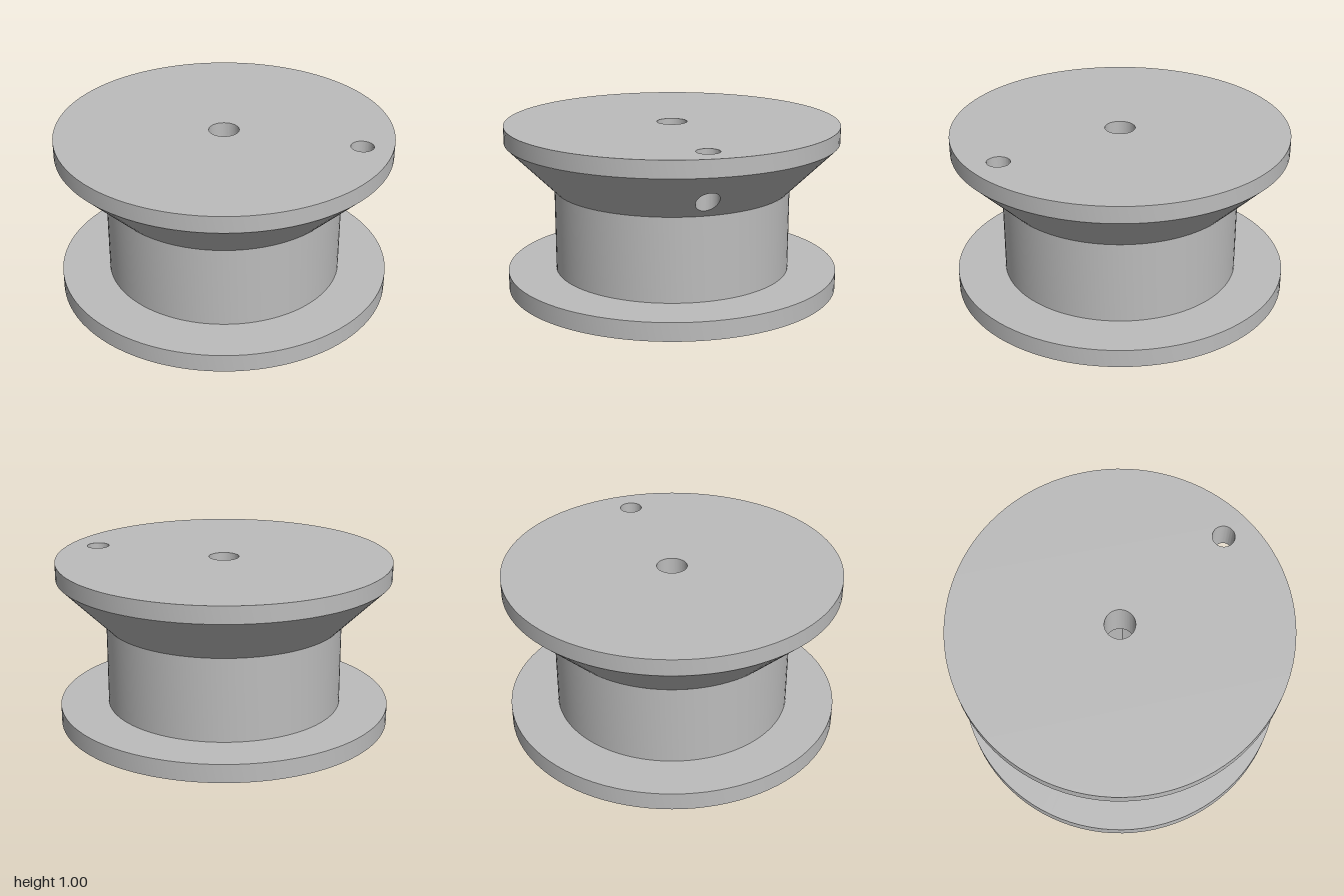
import * as THREE from 'three';
import { toCreasedNormals } from 'three/addons/utils/BufferGeometryUtils.js';

const R = 1, DRUM = 0.71;                       // flange and drum radii
const FLANGE_TOP = 0.11, DRUM_TOP = 0.61, RIM = 0.9, TOP = 1;
const PILOT = 0.09, BORE = 0.2, FLAT = 0.137, BORE_TOP = 0.7;
const HOLE_X = 0.82, HOLE_R = 0.067, GAP = 0.2; // cord hole and its cone patch
const SEG = 96;

const coneY = r => DRUM_TOP + (r - DRUM) * (RIM - DRUM_TOP) / (R - DRUM);

// closed loop of n values
const loop = (n, f) => Array.from({ length: n }, (_, i) => f((i / n) * Math.PI * 2));

// skin between closed rings of [x, y, z] points
function loft(rings) {
  const n = rings[0].length, index = [];
  for (let k = 0; k < rings.length - 1; k++) {
    for (let i = 0; i < n; i++) {
      const j = (i + 1) % n, a = k * n + i, b = k * n + j;
      index.push(a, b, b + n, a, b + n, a + n);
    }
  }
  const g = new THREE.BufferGeometry();
  g.setAttribute('position', new THREE.Float32BufferAttribute(rings.flat(2), 3));
  g.setIndex(index);
  return g;
}

function lathe(points, start = 0, length = Math.PI * 2) {
  return new THREE.LatheGeometry(points.map(p => new THREE.Vector2(...p)), SEG, start, length);
}

const circle = (r, x = 0, n = SEG) =>
  loop(n, a => new THREE.Vector2(x + r * Math.cos(a), r * Math.sin(a)));

// flat horizontal face with holes, facing up or down
function plate(outline, holes, y, up) {
  const shape = new THREE.Shape(outline);
  shape.holes = holes.map(h => new THREE.Path(h));
  return new THREE.ShapeGeometry(shape).rotateX(up ? -Math.PI / 2 : Math.PI / 2).translate(0, y, 0);
}

export function createModel() {
  const group = new THREE.Group();
  const grey = new THREE.MeshStandardMaterial({ color: 0xbcbcbc });
  grey.name = 'grey plastic';
  const add = (name, geometry) => {
    const mesh = new THREE.Mesh(toCreasedNormals(geometry, 0.5), grey);
    mesh.name = name;
    group.add(mesh);
  };

  // bore outline: a circle cut by two parallel flats
  const half = Math.asin(FLAT / BORE), bore = [];
  for (const side of [0, Math.PI]) {
    for (let i = 0; i <= 20; i++) {
      const a = side - half + (2 * half * i) / 20;
      bore.push(new THREE.Vector2(BORE * Math.cos(a), BORE * Math.sin(a)));
    }
  }
  const wall = (pts, y) => pts.map(p => [p.x, y, p.y]);

  // outer body
  add('lowerFlangeAndDrum', lathe([[R, 0], [R, FLANGE_TOP], [DRUM, FLANGE_TOP], [DRUM, DRUM_TOP]]));
  add('upperRim', lathe([[R, RIM], [R, TOP]]));
  add('bottomFace', plate(circle(R), [bore], 0, false));
  add('topFace', plate(circle(R), [circle(PILOT), circle(HOLE_R, HOLE_X, 64)], TOP, true));

  // cone, left open around the cord hole
  add('cone', lathe([[DRUM, DRUM_TOP], [R, RIM]], Math.PI / 2 + GAP, Math.PI * 2 - 2 * GAP));

  // cone patch running from a polar rectangle to the edge of the cord hole
  const mid = (R + DRUM) / 2, span = (R - DRUM) / 2;
  const rings = [];
  for (let k = 0; k <= 6; k++) {
    rings.push(loop(64, a => {
      const c = Math.cos(a), s = Math.sin(a), m = Math.max(Math.abs(c), Math.abs(s));
      const x = HOLE_X + HOLE_R * c, z = HOLE_R * s;
      const r = THREE.MathUtils.lerp(mid + (span * c) / m, Math.hypot(x, z), k / 6);
      const t = THREE.MathUtils.lerp((GAP * s) / m, Math.atan2(z, x), k / 6);
      return [r * Math.cos(t), coneY(r), r * Math.sin(t)];
    }));
  }
  add('conePatch', loft(rings));

  // cord hole, dropping from the top face through the cone
  const edge = circle(HOLE_R, HOLE_X, 64);
  add('cordHole', loft([edge.map(p => [p.x, coneY(p.length()), p.y]), wall(edge, TOP)]));

  // shaft bore with a narrower screw hole above it
  add('shaftBore', loft([wall(bore, 0), wall(bore, BORE_TOP)]));
  add('boreCeiling', plate(bore, [circle(PILOT)], BORE_TOP, false));
  add('screwHole', loft([wall(circle(PILOT), BORE_TOP), wall(circle(PILOT), TOP)]));

  return group;
}
